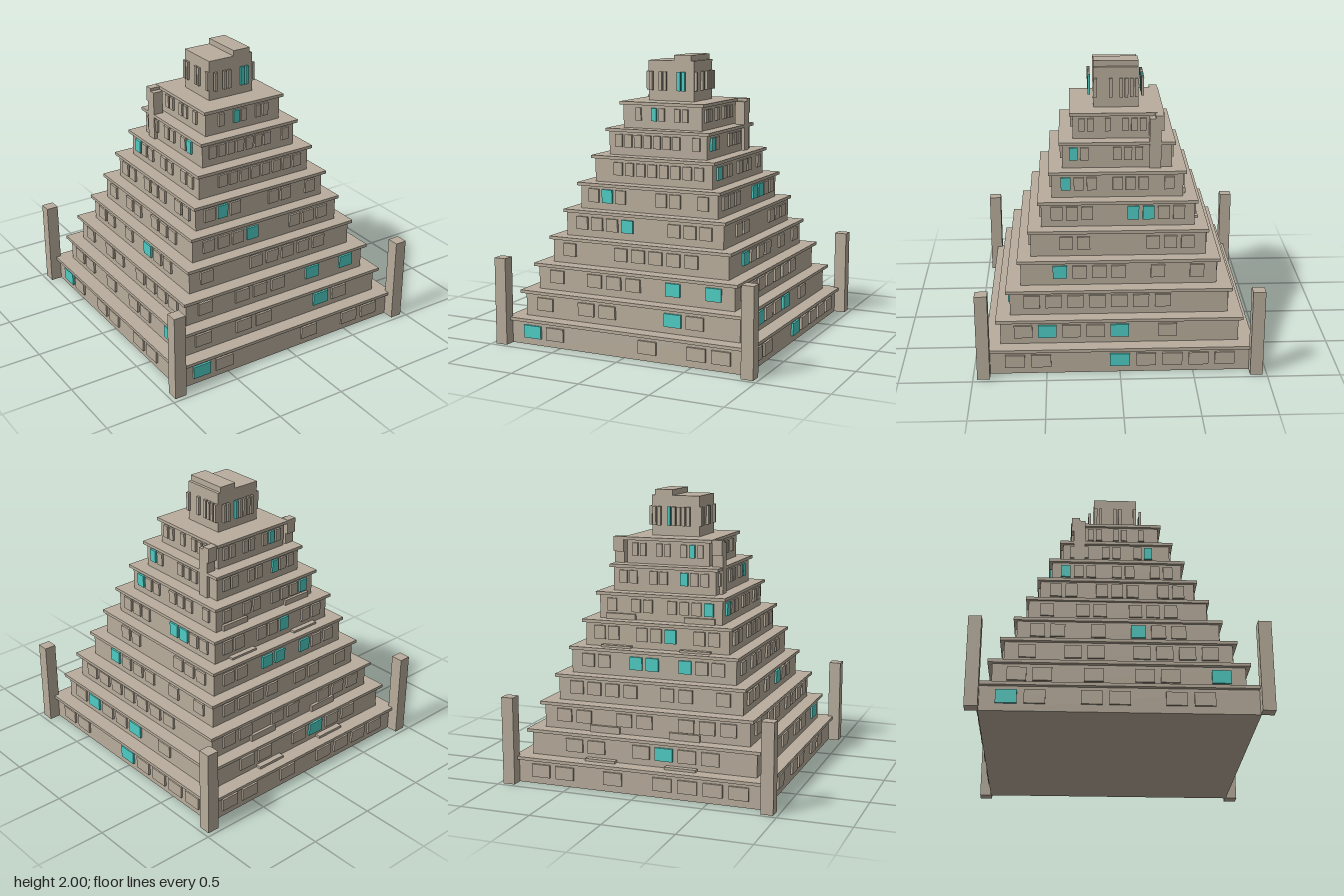
import * as THREE from 'three';

const stone = new THREE.MeshStandardMaterial({ color: 0xb8ad9c });
stone.name = 'sandstone';
const glass = new THREE.MeshStandardMaterial({ color: 0x4ecdc4 });
glass.name = 'turquoise glass';

// Box given by its minimum and maximum corners
function block(parent, name, [x0, y0, z0], [x1, y1, z1], material = stone) {
  const mesh = new THREE.Mesh(new THREE.BoxGeometry(x1 - x0, y1 - y0, z1 - z0), material);
  mesh.position.set((x0 + x1) / 2, (y0 + y1) / 2, (z0 + z1) / 2);
  mesh.name = name;
  parent.add(mesh);
  return mesh;
}

// Nine window slots per wall, read left to right from outside:
// '#' stone shutter, 'o' lit window, '.' empty
function windowRow(parent, slots, o) {
  [...slots].forEach((s, i) => {
    if (s === '.') return;
    const x = (i - 4) * o.pitch;
    block(parent, s === 'o' ? 'litWindow' : 'shutter',
      [x - o.width / 2, o.y0, o.near], [x + o.width / 2, o.y1, o.far], s === 'o' ? glass : stone);
  });
}

// Wall order: front, left (+x), back, right (-x)
function windowRing(parent, walls, o) {
  walls.forEach((slots, i) => {
    const wall = new THREE.Group();
    wall.name = ['front', 'left', 'back', 'right'][i] + 'Windows';
    wall.rotation.y = i * Math.PI / 2;
    windowRow(wall, slots, o);
    parent.add(wall);
  });
}

// Each tier: wall half width, cap half width, cap top, window pitch, width, bottom, top, walls
const TIERS = [
  [0.89, 0.92, 0.188, 0.179, 0.135, 0.05, 0.14, ['o#...#.##', '##..o####', '##.#.####', 'o#.##.##.']],
  [0.815, 0.845, 0.372, 0.1645, 0.125, 0.235, 0.325, ['#.##..o#.', '#o##o.#..', '.##.#o##.', '##.#.##.o']],
  [0.747, 0.775, 0.558, 0.1495, 0.11, 0.425, 0.515, ['#.###.o.o', '#######..', '##.##.###', '#.##.####']],
  [0.672, 0.695, 0.743, 0.134, 0.098, 0.61, 0.70, ['#..#####.', '.o###.#.#', '####.##.#', '##.#.o##.']],
  [0.602, 0.62, 0.93, 0.119, 0.09, 0.795, 0.885, ['###o..###', '.##...###', '##.oo.o##', '#.##.###.']],
  [0.527, 0.55, 1.115, 0.105, 0.08, 0.98, 1.075, ['#o#..##.#', '###..oo##', '##.##o.##', '##.###.##']],
  [0.452, 0.475, 1.303, 0.089, 0.066, 1.17, 1.26, ['.########', 'o##.###.#', '#.##.###o', 'o##.##.##']],
  [0.378, 0.40, 1.49, 0.075, 0.056, 1.36, 1.45, ['#######.#', 'o#..###..', '##.##.o##', '##.##.#o.']],
  [0.304, 0.325, 1.676, 0.0605, 0.042, 1.545, 1.635, ['.#.o#.##.', '##.#.###.', '##.##.#o#', '.##.##.#.']],
];

export function createModel() {
  const model = new THREE.Group();
  model.name = 'steppedTemple';

  // Stepped tiers, each with a projecting cap and windows
  let base = 0;
  TIERS.forEach(([w, c, top, pitch, width, y0, y1, walls], i) => {
    const tier = new THREE.Group();
    tier.name = 'tier' + (i + 1);
    block(tier, 'wall', [-w, base, -w], [w, top - 0.022, w]);
    block(tier, 'cap', [-c, top - 0.022, -c], [c, top, c]);
    windowRing(tier, walls, { pitch, width, y0, y1, near: w - 0.005, far: w + 0.015 });
    model.add(tier);
    base = top;
  });

  // Summit tower with raised roof block and free-standing window slats
  const tower = new THREE.Group();
  tower.name = 'tower';
  block(tower, 'towerBody', [-0.18, 1.676, -0.156], [0.174, 1.96, 0.156]);
  block(tower, 'roofBlock', [0.02, 1.96, -0.156], [0.152, 2, 0.156]);
  windowRing(tower, ['#.##..oo.', '#..#.####', '##.o#####'.replace('##.o#####', '##.o####.'), '##..##..#'],
    { pitch: 0.036, width: 0.024, y0: 1.75, y1: 1.883, near: 0.177, far: 0.196 });
  model.add(tower);

  for (const s of [-1, 1]) {
    const span = (a, b) => [Math.min(s * a, s * b), Math.max(s * a, s * b)];

    // Corner posts
    for (const t of [-1, 1]) {
      const post = block(model, 'cornerPost', [-0.043, 0, -0.043], [0.043, 0.615, 0.043]);
      post.position.x = s * 0.928;
      post.position.z = t * 0.928;
    }

    // Stepped piers beside the upper tiers
    const [p0, p1] = span(0.328, 0.402);
    block(model, 'pierShaft', [p0, 1.303, -0.302], [p1, 1.655, -0.222]);
    block(model, 'pierTop', [p0, 1.57, -0.32], [p1, 1.676, -0.262]);

    // Low ledges along the back
    const [l0, l1] = span(0.18, 0.4);
    for (const [y0, y1, near, far] of [[0.188, 0.206, 0.80, 0.855], [0.372, 0.42, 0.73, 0.768],
      [0.93, 0.945, 0.51, 0.563], [1.115, 1.155, 0.44, 0.472]])
      block(model, 'backLedge', [l0, y0, -far], [l1, y1, -near]);
  }
  return model;
}
